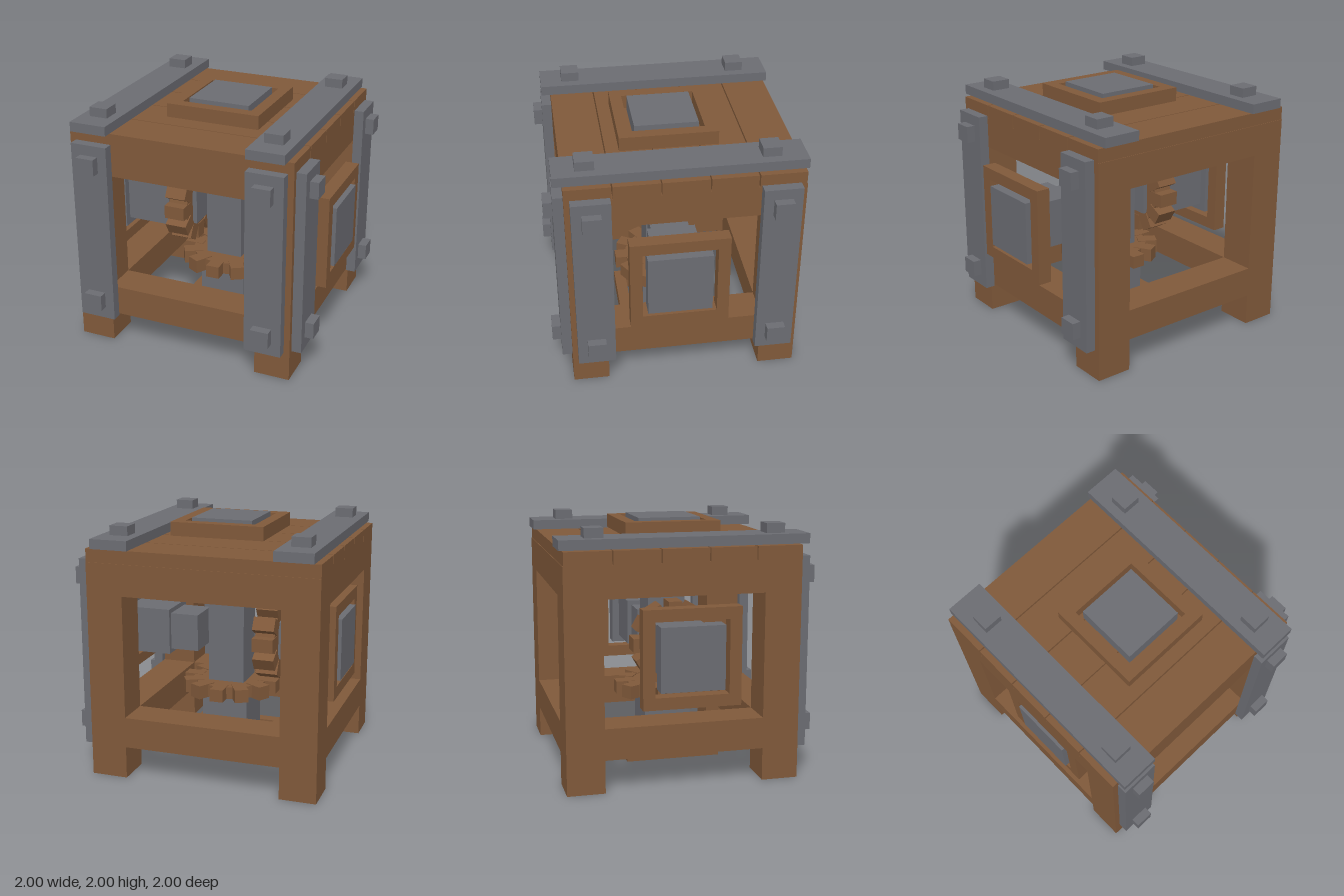
import * as THREE from 'three';

const wood = new THREE.MeshStandardMaterial({ color: 0x80593a });
wood.name = 'brown wood';
const metal = new THREE.MeshStandardMaterial({ color: 0x6b6c72 });
metal.name = 'grey metal';

// Box given by its lower and upper limits on each axis
function box(parent, name, mat, [x0, x1], [y0, y1], [z0, z1]) {
  const mesh = new THREE.Mesh(new THREE.BoxGeometry(x1 - x0, y1 - y0, z1 - z0), mat);
  mesh.position.set((x0 + x1) / 2, (y0 + y1) / 2, (z0 + z1) / 2);
  mesh.name = name;
  parent.add(mesh);
  return mesh;
}

function group(parent, name) {
  const g = new THREE.Group();
  g.name = name;
  parent.add(g);
  return g;
}

// Shaft end pointing to +y: stub, cap and square wooden collar, outer face at y = 1
function makePort(parent, name) {
  const g = group(parent, name);
  box(g, 'shaftStub', metal, [-0.193, 0.193], [0.49, 0.9], [-0.193, 0.193]);
  box(g, 'shaftCap', metal, [-0.253, 0.253], [0.87, 1], [-0.253, 0.253]);
  const s = new THREE.Shape();
  s.moveTo(-0.387, -0.387).lineTo(0.387, -0.387).lineTo(0.387, 0.387).lineTo(-0.387, 0.387);
  const hole = new THREE.Path();
  hole.moveTo(-0.292, -0.292).lineTo(-0.292, 0.292).lineTo(0.292, 0.292).lineTo(0.292, -0.292);
  s.holes.push(hole);
  const geo = new THREE.ExtrudeGeometry(s, { depth: 0.112, bevelEnabled: false });
  geo.rotateX(-Math.PI / 2);
  const collar = new THREE.Mesh(geo, wood);
  collar.name = 'collar';
  collar.position.y = 0.868;
  g.add(collar);
  return g;
}

// Toothed wheel around the y axis
function makeGear(parent, name, radius, thickness) {
  const g = group(parent, name);
  const disc = new THREE.Mesh(
    new THREE.CylinderGeometry(radius * 0.8, radius * 0.8, thickness * 0.94, 12).toNonIndexed(), wood);
  disc.geometry.computeVertexNormals();
  disc.name = 'gearDisc';
  g.add(disc);
  for (let i = 0; i < 12; i++) {
    const a = group(g, 'tooth');
    const t = thickness / 2 + (i % 3) * 0.002;
    box(a, 'toothBlock', wood, [radius * 0.6, radius * 0.99], [-t, t], [-0.056, 0.056]);
    a.rotation.y = (i * Math.PI) / 6;
  }
  return g;
}

export function createModel() {
  const model = new THREE.Group();
  model.name = 'gearbox';

  // Wooden frame: posts and beams
  const frame = group(model, 'frame');
  const xs = [[-1, -0.707], [0.557, 0.85]];
  const zs = [[-0.98, -0.685], [0.56, 0.85]];
  for (const x of xs) for (const z of zs) box(frame, 'post', wood, x, [0, 1.74], z);
  for (const y of [[0.26, 0.507], [1.49, 1.74]]) {
    for (const z of zs) box(frame, 'crossBeam', wood, [-0.707, 0.557], y, z);
    for (const x of xs) box(frame, 'sideBeam', wood, x, y, [-0.685, 0.56]);
  }

  // Roof planks with narrow gaps
  const planks = [[-0.975, -0.617], [-0.607, -0.25], [-0.24, 0.12], [0.129, 0.487], [0.497, 0.85]];
  for (const z of planks) box(model, 'roofPlank', wood, [-1, 0.85], [1.74, 1.845], z);

  // Metal straps and bolts on the roof and the front
  for (const x of [-0.8, 0.65]) {
    const w = [x - 0.152, x + 0.152];
    const b = [x - 0.075, x + 0.075];
    box(model, 'roofStrap', metal, w, [1.848, 1.925], [-1, 0.925]);
    for (const z of [-0.728, 0.677]) box(model, 'bolt', metal, b, [1.925, 2], [z - 0.073, z + 0.073]);
    box(model, 'frontStrap', metal, w, [0.243, 1.755], [0.85, 0.93]);
    for (const y of [0.412, 1.602]) box(model, 'bolt', metal, b, [y - 0.067, y + 0.067], [0.93, 1]);
  }

  // Straps and bolts on the +x side
  for (const z of [-0.782, 0.657]) {
    box(model, 'sideStrap', metal, [0.85, 0.93], [0.243, 1.755], [z - 0.15, z + 0.15]);
    for (const y of [0.412, 1.602])
      box(model, 'bolt', metal, [0.93, 1], [y - 0.067, y + 0.067], [z - 0.073, z + 0.073]);
  }

  // Vertical shaft and two short side shafts
  box(model, 'mainShaft', metal, [-0.155, 0.152], [0.4, 1.6], [-0.155, 0.155]);
  box(model, 'leftShaft', metal, [0.25, 0.6], [0.85, 1.16], [-0.155, 0.155]);
  box(model, 'rightShaft', metal, [-0.6, -0.25], [0.85, 1.16], [-0.155, 0.155]);

  // Four shaft ends
  makePort(model, 'topPort').position.y = 1;
  const bottom = makePort(model, 'bottomPort');
  bottom.rotation.x = Math.PI;
  bottom.position.y = 1;
  for (const s of [-1, 1]) {
    const side = makePort(model, s > 0 ? 'leftPort' : 'rightPort');
    side.rotation.z = (-s * Math.PI) / 2;
    side.position.y = 1.005;
  }

  // Gears
  makeGear(model, 'floorGear', 0.41, 0.105).position.y = 0.562;
  const sideGear = makeGear(model, 'sideGear', 0.348, 0.175);
  sideGear.rotation.z = Math.PI / 2;
  sideGear.position.set(-0.37, 1.005, 0);

  return model;
}
